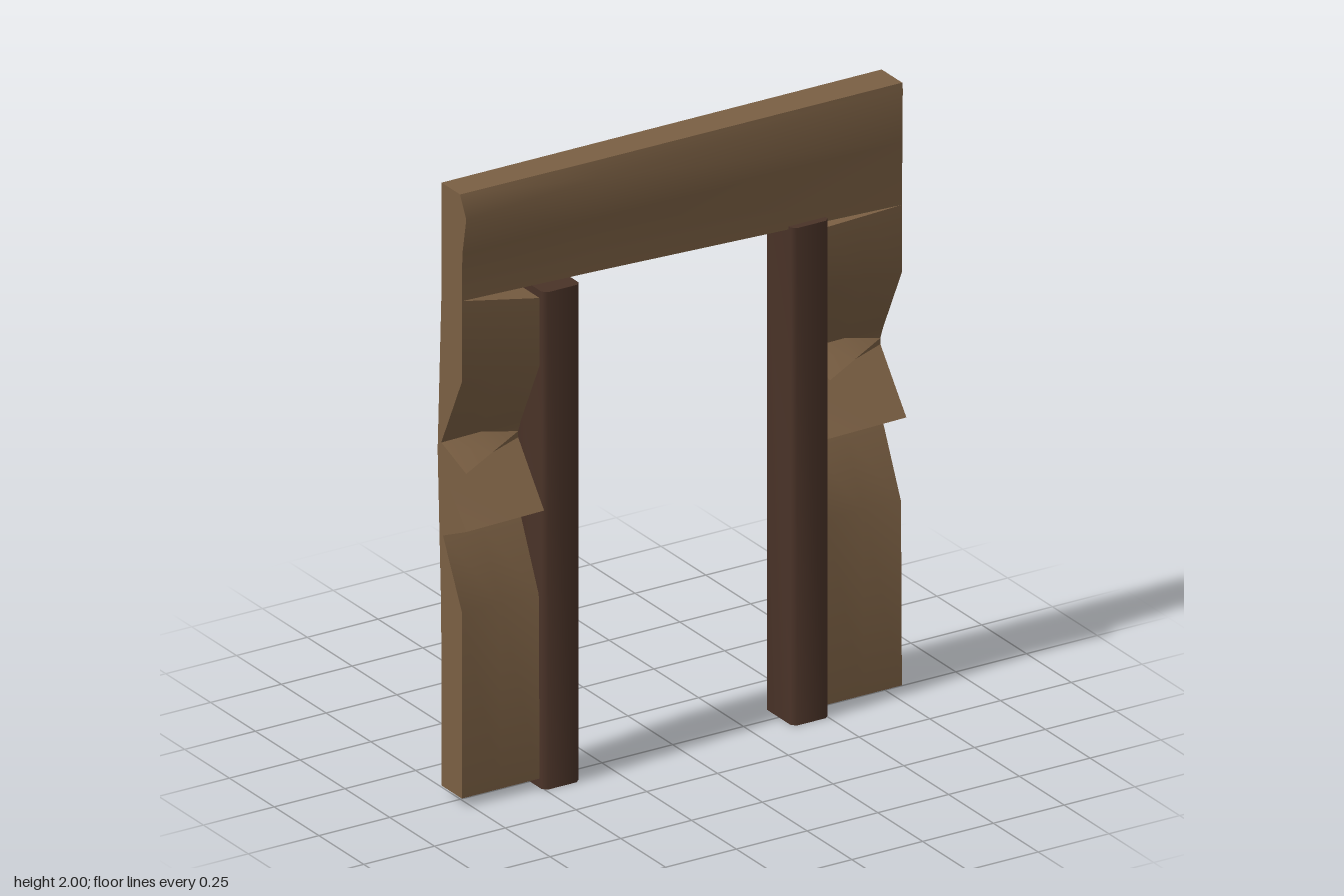
import * as THREE from 'three';
import { toCreasedNormals } from 'three/addons/utils/BufferGeometryUtils.js';

const paleWood = new THREE.MeshStandardMaterial({ color: 0x7a5f43 });
const darkWood = new THREE.MeshStandardMaterial({ color: 0x4a3328 });

// Joins cross-sections { x, ring: [[z, y], ...] } along x and caps both ends.
// Rings run down the front and up the back.
function loft(sections, crease) {
  const pos = [];
  const put = (s, i) => pos.push(s.x, s.ring[i][1], s.ring[i][0]);
  for (let k = 0; k < sections.length - 1; k++) {
    const a = sections[k], b = sections[k + 1], n = a.ring.length;
    for (let i = 0; i < n; i++) {
      const j = (i + 1) % n;
      put(a, i); put(a, j); put(b, j);
      put(a, i); put(b, j); put(b, i);
    }
  }
  const cap = (s, flip) => {
    const outline = s.ring.map(([z, y]) => new THREE.Vector2(-z, y));
    for (const [p, q, r] of THREE.ShapeUtils.triangulateShape(outline, [])) {
      for (const i of flip ? [p, r, q] : [p, q, r]) put(s, i);
    }
  };
  cap(sections[0], true);
  cap(sections[sections.length - 1], false);
  const geometry = new THREE.BufferGeometry();
  geometry.setAttribute('position', new THREE.Float32BufferAttribute(pos, 3));
  return toCreasedNormals(geometry, crease);
}

function part(group, name, geometry, material) {
  const mesh = new THREE.Mesh(geometry, material);
  mesh.name = name;
  group.add(mesh);
  return mesh;
}

// Splintered side panel: a sharp sliver on its -x edge fades out towards +x
function panelGeometry(x0, x1, topStart, topEnd) {
  const splintered = [[0.055, 1.39], [-0.06, 1.15], [0.08, 1.1], [-0.065, 1.08], [-0.01, 1.01],
    [0.08, 0.91], [-0.05, 0.85], [0.055, 0.64], [0.055, 0.03]];
  const worn = [[0.055, 1.38], [-0.05, 1.16], [-0.065, 1.12], [-0.065, 1.1], [0.005, 1.01],
    [0.08, 0.915], [-0.05, 0.85], [0.05, 0.63], [0.055, 0.03]];
  const back = [[-0.058, 0.03], [-0.06, 0.6], [-0.08, 1.12]];
  const section = (t) => {
    const top = THREE.MathUtils.lerp(topStart, topEnd, t);
    const front = splintered.map(([z, y], i) => [
      THREE.MathUtils.lerp(z, worn[i][0], t),
      THREE.MathUtils.lerp(y, worn[i][1], t),
    ]);
    return {
      x: THREE.MathUtils.lerp(x0, x1, t),
      ring: [[0.055, top], ...front, ...back, [-0.058, top]],
    };
  };
  return loft([0, 0.5, 1].map(section), 0.7);
}

// Upright post with bevelled long edges
function postGeometry() {
  const w = 0.065, d = 0.08, c = 0.014;
  const shape = new THREE.Shape([
    [-w + c, -d], [w - c, -d], [w, -d + c], [w, d - c],
    [w - c, d], [-w + c, d], [-w, d - c], [-w, -d + c],
  ].map(([x, y]) => new THREE.Vector2(x, y)));
  const geometry = new THREE.ExtrudeGeometry(shape, { depth: 1.625, bevelEnabled: false });
  geometry.rotateX(-Math.PI / 2);
  return toCreasedNormals(geometry, 0.9);
}

// Lintel: tapered beam whose rounded front swells towards the -x end
function lintelGeometry() {
  const section = (x, bottom, topZ, bulge, bulgeY) => ({
    x,
    ring: [[topZ, 2], [bulge, bulgeY], [0.058, 1.81], [0.055, bottom], [-0.058, bottom], [-0.058, 2]],
  });
  return loft([
    section(-0.78, 1.655, 0.045, 0.08, 1.93),
    section(-0.3, 1.64, 0.052, 0.07, 1.95),
    section(0.775, 1.6, 0.057, 0.06, 1.98),
  ], 0.75);
}

export function createModel() {
  const group = new THREE.Group();
  group.name = 'doorFrame';

  part(group, 'lintel', lintelGeometry(), paleWood);
  part(group, 'rightPanel', panelGeometry(-0.78, -0.505, 1.655, 1.6), paleWood);
  part(group, 'leftPanel', panelGeometry(0.505, 0.775, 1.59, 1.6), paleWood);

  const post = postGeometry();
  for (const [name, side] of [['leftPost', 1], ['rightPost', -1]]) {
    part(group, name, post, darkWood).position.x = side * 0.44;
  }
  return group;
}
